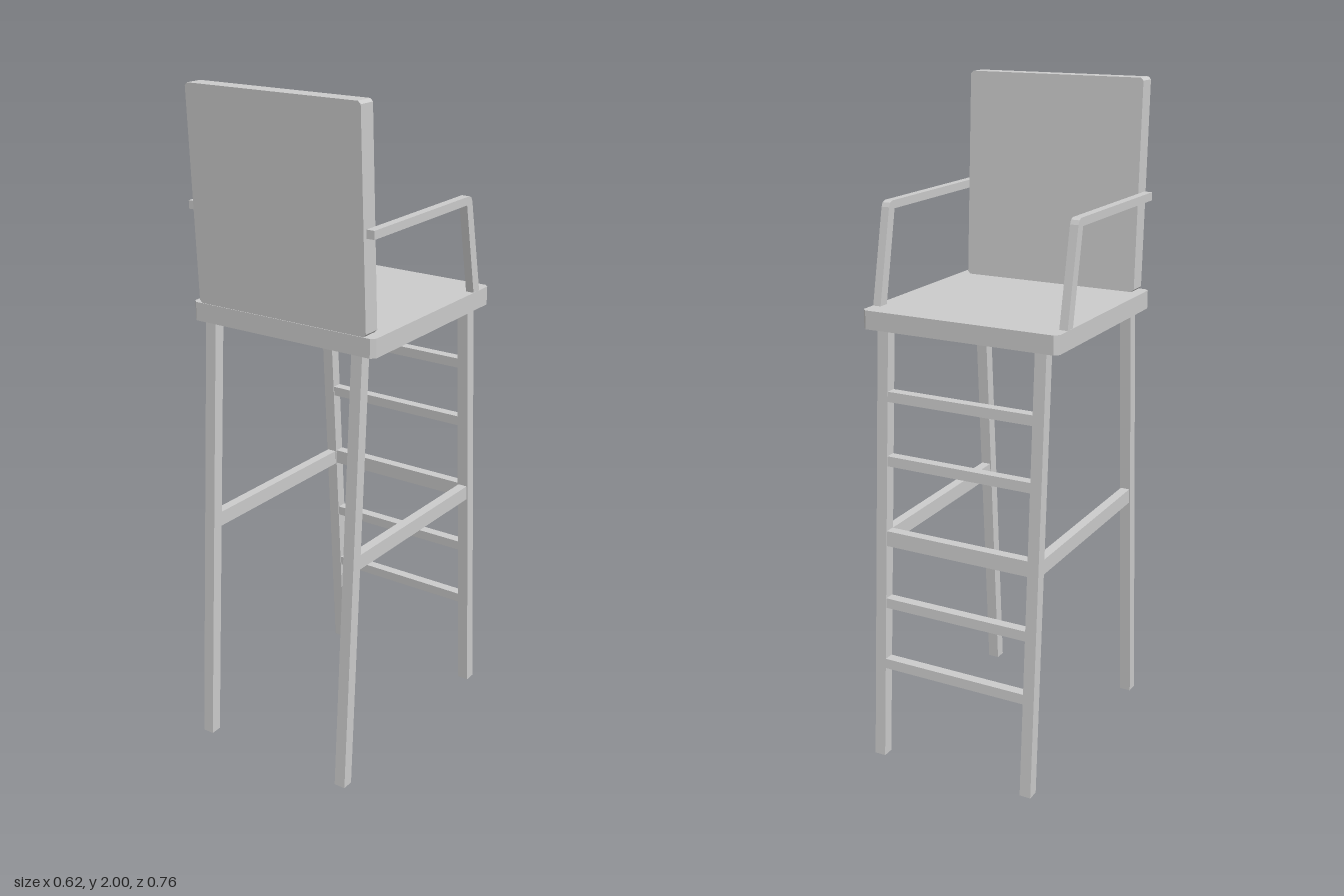
import * as THREE from 'three';

const material = new THREE.MeshStandardMaterial({ color: 0xcccccc, flatShading: true });

// Extrude a side profile of [z, y] points between x0 and x1
function sidePrism(name, points, x0, x1) {
  const shape = new THREE.Shape(points.map(([z, y]) => new THREE.Vector2(z, y)));
  const g = new THREE.ExtrudeGeometry(shape, { depth: x1 - x0, bevelEnabled: false });
  g.rotateY(-Math.PI / 2).translate(x1, 0, 0);
  const mesh = new THREE.Mesh(g, material);
  mesh.name = name;
  return mesh;
}

// Rectangle outline with cut corners
function cutRect(x0, y0, x1, y1, c) {
  return new THREE.Shape([
    [x0 + c, y0], [x1 - c, y0], [x1, y0 + c], [x1, y1 - c],
    [x1 - c, y1], [x0 + c, y1], [x0, y1 - c], [x0, y0 + c],
  ].map(([x, y]) => new THREE.Vector2(x, y)));
}

const SEAT_BOTTOM = 1.325, SEAT_TOP = 1.38;
// Outer and inner faces of the splayed legs at a given height
const outer = (y) => 0.38 - (0.082 * y) / SEAT_BOTTOM;
const inner = (y) => outer(y) - 0.035;

export function createModel() {
  const group = new THREE.Group();
  group.name = 'highChair';

  // Seat slab with cut corners
  const seatGeo = new THREE.ExtrudeGeometry(cutRect(-0.31, -0.305, 0.31, 0.315, 0.013),
    { depth: SEAT_TOP - SEAT_BOTTOM, bevelEnabled: false });
  seatGeo.rotateX(-Math.PI / 2).translate(0, SEAT_BOTTOM, 0);
  const seat = new THREE.Mesh(seatGeo, material);
  seat.name = 'seat';
  group.add(seat);

  // Leaning backrest panel
  const backGeo = new THREE.ExtrudeGeometry(cutRect(-0.283, SEAT_TOP, 0.283, 2, 0.008),
    { depth: 0.055, bevelEnabled: false });
  const p = backGeo.attributes.position;
  for (let i = 0; i < p.count; i++) {
    p.setZ(i, p.getZ(i) + 0.248 + (p.getY(i) - SEAT_TOP) * 0.048);
  }
  backGeo.computeVertexNormals();
  const backrest = new THREE.Mesh(backGeo, material);
  backrest.name = 'backrest';
  group.add(backrest);

  for (const [side, s] of [['left', 1], ['right', -1]]) {
    // x range mirrored to the chosen side
    const range = (a, b) => (s > 0 ? [a, b] : [-b, -a]);

    // Splayed legs
    for (const [end, d] of [['front', 1], ['rear', -1]]) {
      const profile = [[0, 0], [0, SEAT_BOTTOM]].map(([, y]) => [d * outer(y), y]);
      profile.push([d * inner(SEAT_BOTTOM), SEAT_BOTTOM], [d * inner(0), 0]);
      group.add(sidePrism(`${side}${end}Leg`, profile, ...range(0.233, 0.268)));
    }

    // Side stretcher
    group.add(sidePrism(`${side}Stretcher`, [
      [inner(0.69), 0.688], [-inner(0.68), 0.678], [-inner(0.725), 0.723], [inner(0.735), 0.733],
    ], ...range(0.236, 0.265)));

    // Bent armrest with its slanted post
    group.add(sidePrism(`${side}Armrest`, [
      [0.305, 1.672], [0.305, 1.648], [-0.168, 1.648], [-0.222, SEAT_TOP],
      [-0.255, SEAT_TOP], [-0.197, 1.655], [-0.191, 1.667], [-0.18, 1.672],
    ], ...range(0.284, 0.309)));
  }

  // Ladder rungs; the middle one is deeper
  [[0.29, 0.32], [0.485, 0.515], [0.68, 0.726], [0.925, 0.955], [1.117, 1.147]].forEach(([y0, y1], i) => {
    group.add(sidePrism(`rung${i + 1}`, [
      [-outer(y0) + 0.001, y0], [-outer(y1) + 0.001, y1],
      [-inner(y1) - 0.003, y1], [-inner(y0) - 0.003, y0],
    ], -0.233, 0.233));
  });

  return group;
}
